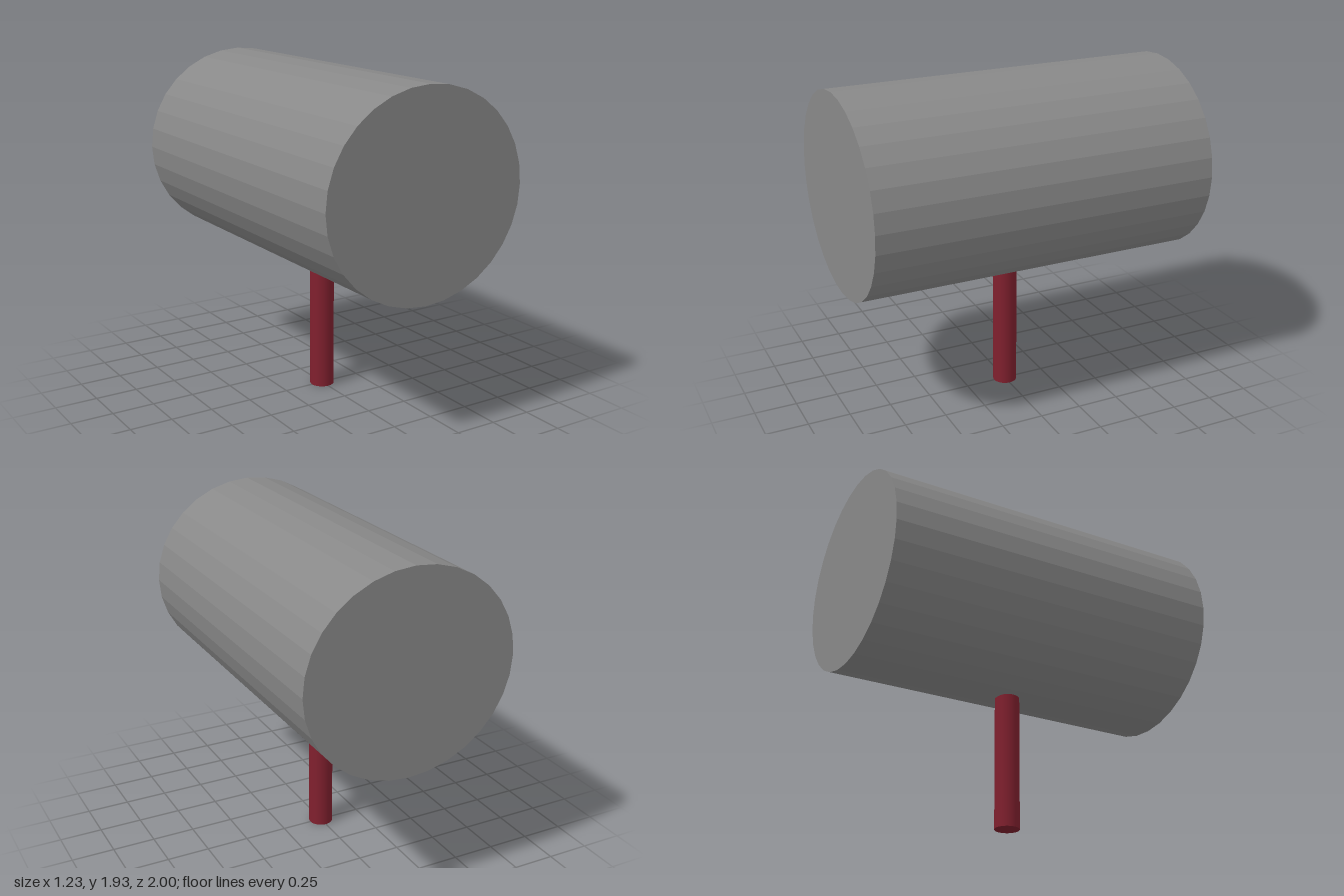
import * as THREE from 'three';

export function createModel() {
  const group = new THREE.Group();

  const steelGrey = new THREE.MeshStandardMaterial({ color: 0x888888, flatShading: true });
  steelGrey.name = 'steelGrey';
  const darkRed = new THREE.MeshStandardMaterial({ color: 0x80202e });
  darkRed.name = 'darkRed';

  // Faceted head lying along z, slightly wider than tall
  const headGeometry = new THREE.CylinderGeometry(1, 1, 2, 32);
  headGeometry.rotateX(Math.PI / 2);
  headGeometry.scale(0.615, 0.577, 1);
  const head = new THREE.Mesh(headGeometry, steelGrey);
  head.name = 'head';
  head.position.y = 1.355;
  group.add(head);

  // Round handle, its top end set just into the head
  const handleHeight = 0.8;
  const handle = new THREE.Mesh(new THREE.CylinderGeometry(0.071, 0.071, handleHeight, 32), darkRed);
  handle.name = 'handle';
  handle.position.y = handleHeight / 2;
  group.add(handle);

  return group;
}
